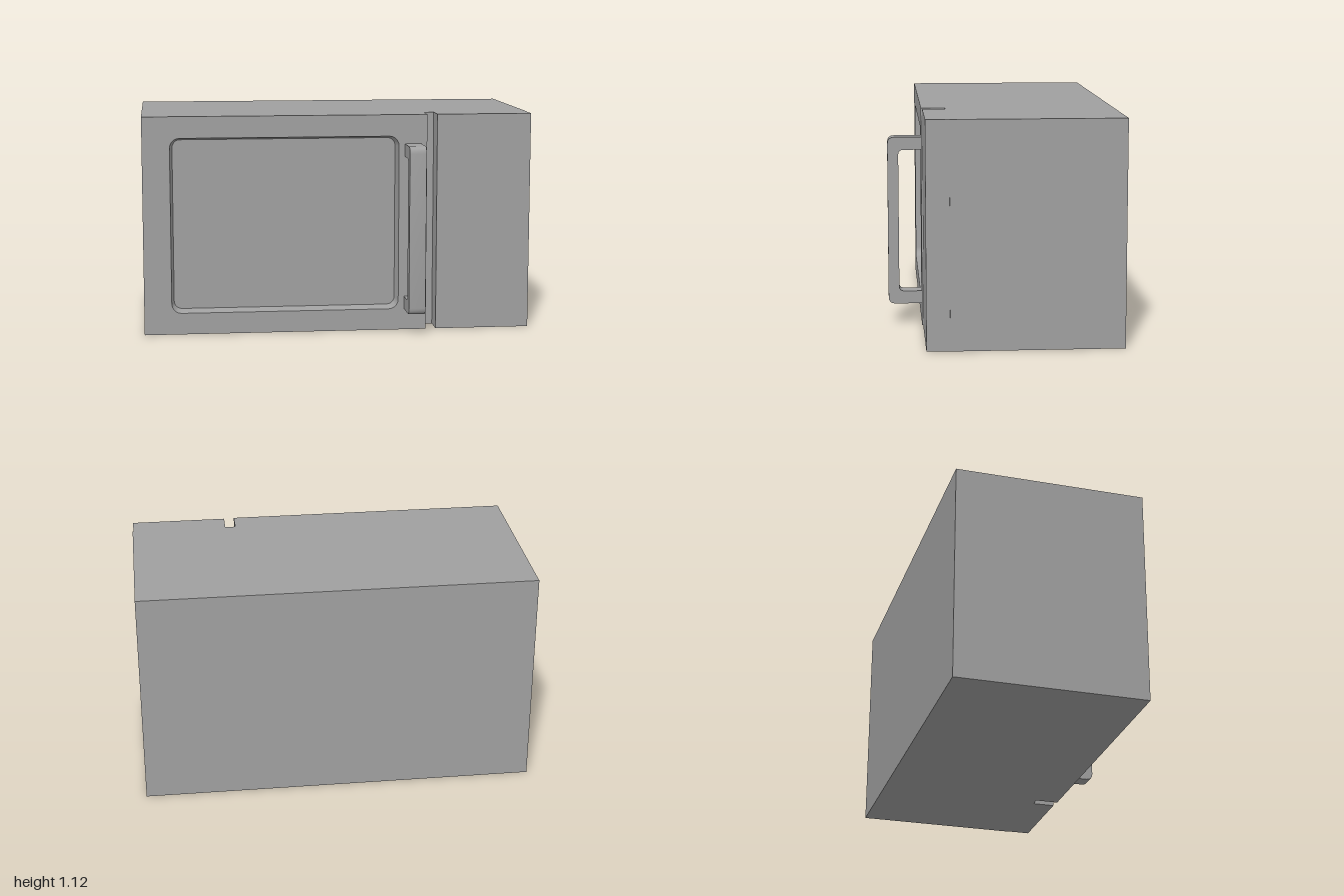
import * as THREE from 'three';
import { toCreasedNormals } from 'three/addons/utils/BufferGeometryUtils.js';

const grey = new THREE.MeshStandardMaterial({ color: 0xa0a0a0 });
grey.name = 'casing grey';

const HEIGHT = 1.12, BACK = -0.57, SEAM = 0.28, FRONT = 0.4;

function addMesh(parent, name, geometry) {
  const mesh = new THREE.Mesh(geometry, grey);
  mesh.name = name;
  parent.add(mesh);
  return mesh;
}

function addBlock(parent, name, x0, x1, z0, z1) {
  const mesh = addMesh(parent, name, new THREE.BoxGeometry(x1 - x0, HEIGHT, z1 - z0));
  mesh.position.set((x0 + x1) / 2, HEIGHT / 2, (z0 + z1) / 2);
}

// Counter-clockwise outline of a rounded rectangle
function roundedRect(x0, y0, x1, y1, r, steps = 5) {
  const corners = [[x1 - r, y0 + r], [x1 - r, y1 - r], [x0 + r, y1 - r], [x0 + r, y0 + r]];
  const points = [];
  corners.forEach(([cx, cy], k) => {
    for (let i = 0; i <= steps; i++) {
      const a = (k - 1 + i / steps) * Math.PI / 2;
      points.push(new THREE.Vector2(cx + r * Math.cos(a), cy + r * Math.sin(a)));
    }
  });
  return points;
}

// Sloping band between two matching outlines at different depths
function bandGeometry(outer, zOuter, inner, zInner) {
  const positions = [];
  outer.forEach((a, i) => {
    const j = (i + 1) % outer.length;
    const b = outer[j], c = inner[j], d = inner[i];
    positions.push(a.x, a.y, zOuter, b.x, b.y, zOuter, c.x, c.y, zInner);
    positions.push(a.x, a.y, zOuter, c.x, c.y, zInner, d.x, d.y, zInner);
  });
  const geometry = new THREE.BufferGeometry();
  geometry.setAttribute('position', new THREE.Float32BufferAttribute(positions, 3));
  geometry.computeVertexNormals();
  return toCreasedNormals(geometry, 0.6);
}

function createDoor() {
  const door = new THREE.Group();
  door.name = 'door';
  const rim = roundedRect(-0.86, 0.11, 0.31, 1.01, 0.05);
  const floor = roundedRect(-0.847, 0.123, 0.297, 0.997, 0.04);
  const floorZ = FRONT - 0.06;

  // Door slab with the window opening
  const slab = new THREE.Shape([[-1, 0], [0.455, 0], [0.455, HEIGHT], [-1, HEIGHT]]
    .map(([x, y]) => new THREE.Vector2(x, y)));
  slab.holes.push(new THREE.Path(rim));
  const slabGeometry = new THREE.ExtrudeGeometry(slab, { depth: FRONT - SEAM, bevelEnabled: false });
  slabGeometry.translate(0, 0, SEAM);
  addMesh(door, 'doorFrame', slabGeometry);

  // Recessed window
  addMesh(door, 'windowRim', bandGeometry(rim, FRONT, floor, floorZ));
  addMesh(door, 'windowPane', new THREE.ShapeGeometry(new THREE.Shape(floor))).position.z = floorZ;
  return door;
}

// Bracket handle: side profile extruded across its width
function createHandle() {
  const y0 = 0.11, y1 = 0.97, z1 = 0.57, t = 0.065, zi = 0.515, R = 0.035, r = 0.025;
  const s = new THREE.Shape();
  s.moveTo(FRONT, y0);
  s.lineTo(z1 - R, y0);
  s.quadraticCurveTo(z1, y0, z1, y0 + R);
  s.lineTo(z1, y1 - R);
  s.quadraticCurveTo(z1, y1, z1 - R, y1);
  s.lineTo(FRONT, y1);
  s.lineTo(FRONT, y1 - t);
  s.lineTo(zi - r, y1 - t);
  s.quadraticCurveTo(zi, y1 - t, zi, y1 - t - r);
  s.lineTo(zi, y0 + t + r);
  s.quadraticCurveTo(zi, y0 + t, zi - r, y0 + t);
  s.lineTo(FRONT, y0 + t);
  s.closePath();
  const geometry = new THREE.ExtrudeGeometry(s, { depth: 0.085, bevelEnabled: false, curveSegments: 4 });
  geometry.rotateY(-Math.PI / 2);
  geometry.translate(0.425, 0, 0);
  return toCreasedNormals(geometry, 0.6);
}

export function createModel() {
  const model = new THREE.Group();
  model.name = 'microwave';
  addBlock(model, 'body', -1, 1, BACK, SEAM);
  // Control panel, separated from the door by a deep groove
  addBlock(model, 'controlPanel', 0.508, 0.996, SEAM, 0.395);
  model.add(createDoor());
  addMesh(model, 'doorHandle', createHandle());
  return model;
}
